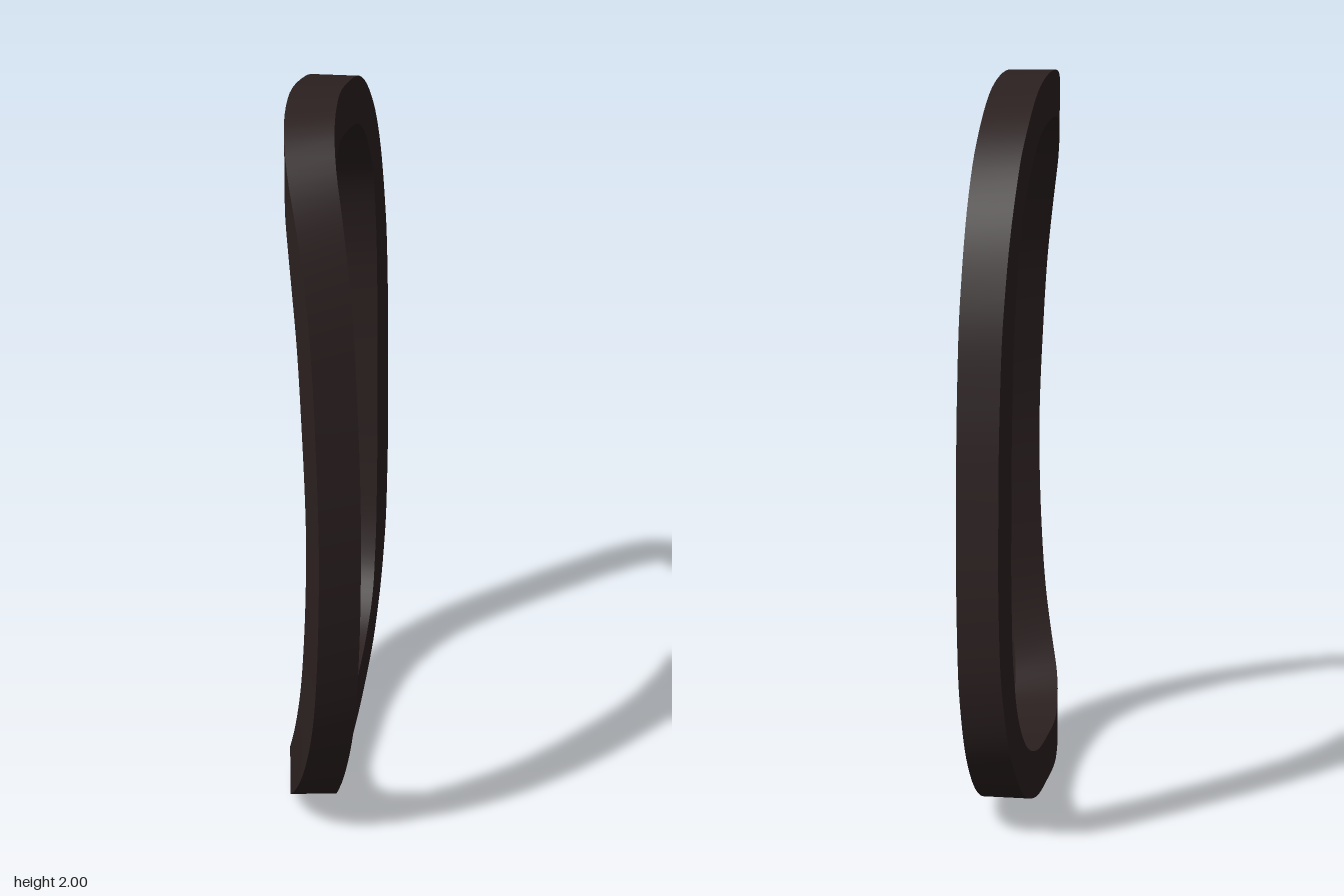
import * as THREE from 'three';

// Sideways bend of the frame: x as a function of z, control points evenly spaced in z
const bend = new THREE.SplineCurve(
  [0.31, 0.17, 0.08, 0.005, -0.065, -0.135, -0.177, -0.16, -0.13]
    .map((x, i) => new THREE.Vector2(x, -0.8 + i * 0.2)));
const bendAt = z => bend.getPoint((z + 0.8) / 1.6).x;
const bendSlope = z => (bendAt(z + 0.005) - bendAt(z - 0.005)) / 0.01;

// Centre line of the loop as [z, y]: up the front, over the top, down the back
const outline = [
  [0.6, 0.945], [0.57, 1.265], [0.517, 1.545], [0.427, 1.765], [0.315, 1.893],
  [0.17, 1.935], [-0.02, 1.926], [-0.21, 1.88], [-0.37, 1.78], [-0.485, 1.625],
  [-0.55, 1.41], [-0.575, 1.16], [-0.582, 0.89], [-0.58, 0.63], [-0.56, 0.427],
  [-0.505, 0.273], [-0.39, 0.156], [-0.235, 0.095], [-0.07, 0.07], [0.19, 0.07],
  [0.33, 0.114], [0.44, 0.204], [0.527, 0.368], [0.58, 0.61],
];

// Square bar swept along the bent loop; each side has its own vertices for sharp edges
function frameGeometry(steps = 144) {
  const path = new THREE.CatmullRomCurve3(
    outline.map(([z, y]) => new THREE.Vector3(0, y, z)), true);
  const corners = [[1, 1], [-1, 1], [-1, -1], [1, -1]];
  const rings = [];
  for (let i = 0; i < steps; i++) {
    const p = path.getPointAt(i / steps);
    const t = path.getTangentAt(i / steps);
    const slope = bendSlope(p.z);
    p.x = bendAt(p.z);
    t.x = slope * t.z;
    t.normalize();
    const n = new THREE.Vector3(1, 0, -slope).normalize();
    const b = t.clone().cross(n);
    const half = 0.056 + 0.009 * Math.abs(t.z);
    rings.push(corners.map(([u, v]) =>
      p.clone().addScaledVector(n, u * half).addScaledVector(b, v * half)));
  }
  const positions = [], index = [];
  for (let k = 0; k < 4; k++) {
    const base = k * steps * 2;
    for (let i = 0; i < steps; i++) {
      positions.push(...rings[i][k].toArray(), ...rings[i][(k + 1) % 4].toArray());
      const a = base + i * 2, d = base + ((i + 1) % steps) * 2;
      index.push(a, a + 1, d + 1, a, d + 1, d);
    }
  }
  const geometry = new THREE.BufferGeometry();
  geometry.setAttribute('position', new THREE.Float32BufferAttribute(positions, 3));
  geometry.setIndex(index);
  geometry.computeVertexNormals();
  return geometry;
}

export function createModel() {
  const group = new THREE.Group();
  group.name = 'bentFrame';
  const darkBrown = new THREE.MeshStandardMaterial({ color: 0x2b2020 });
  darkBrown.name = 'darkBrown';
  const frame = new THREE.Mesh(frameGeometry(), darkBrown);
  frame.name = 'frameRing';
  group.add(frame);
  return group;
}
